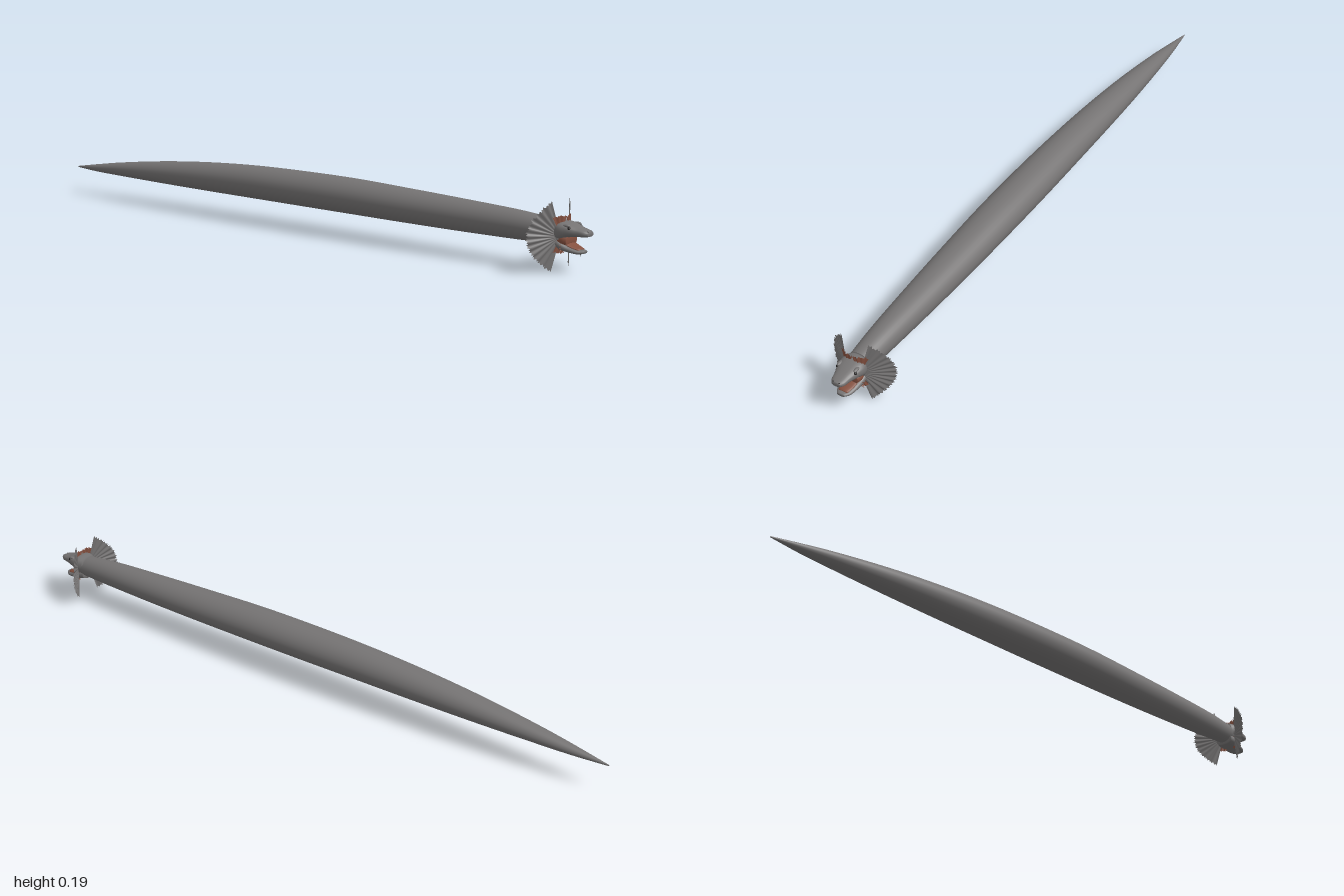
import * as THREE from 'three';

const mat = (name, color, side = THREE.FrontSide) => {
  const m = new THREE.MeshStandardMaterial({ color, side });
  m.name = name;
  return m;
};

// Smooth tube along z; each section is [z, halfWidth, top, bottom]
function loft(sections, steps, sides = 28, power = 1) {
  const width = new THREE.CatmullRomCurve3(sections.map(s => new THREE.Vector3(s[0], s[1], 0)));
  const height = new THREE.CatmullRomCurve3(sections.map(s => new THREE.Vector3(s[0], s[2], s[3])));
  const rows = [];
  for (let i = 0; i <= steps; i++) {
    const w = width.getPoint(i / steps), h = height.getPoint(i / steps);
    rows.push([w.x, Math.max(w.y, 0.0005), h.y, h.z]);
  }
  const mid = r => (r[2] + r[3]) / 2;
  const cap = r => [r[0], 0, mid(r), mid(r)];
  rows.unshift(cap(rows[0]));
  rows.push(cap(rows[rows.length - 1]));
  const pos = [], idx = [];
  const bend = v => Math.sign(v) * Math.abs(v) ** power;
  rows.forEach((r, i) => {
    for (let j = 0; j < sides; j++) {
      const a = j / sides * Math.PI * 2;
      pos.push(bend(Math.cos(a)) * r[1], mid(r) + bend(Math.sin(a)) * (r[2] - r[3]) / 2, r[0]);
      if (i < rows.length - 1) {
        const k = (j + 1) % sides, p = i * sides, q = p + sides;
        idx.push(p + j, p + k, q + k, p + j, q + k, q + j);
      }
    }
  });
  return surface(pos, idx);
}

function surface(pos, idx) {
  const g = new THREE.BufferGeometry();
  g.setAttribute('position', new THREE.Float32BufferAttribute(pos, 3));
  g.setIndex(idx);
  g.computeVertexNormals();
  return g;
}

// Swept-back fan around the neck, between two angles in degrees
function fan(side, from, to, segs, rings, inner, outer, lift = 0) {
  const pos = [], idx = [];
  for (let i = 0; i <= segs; i++) {
    const a = THREE.MathUtils.degToRad(from + (to - from) * i / segs);
    const rim = outer(a, i);
    for (let j = 0; j <= rings; j++) {
      const t = j / rings, r = inner + (rim - inner) * t;
      const x = 0.02 + Math.cos(a) * r;
      const fold = 0.0035 * t * (1 - 0.4 * t) * Math.sin(a * 28);
      pos.push(side * x, 0.098 + Math.sin(a) * r, 0.922 - 0.66 * Math.max(x - 0.018, 0) + fold + lift);
      if (i < segs && j < rings) {
        const p = i * (rings + 1) + j, q = p + rings + 1;
        if (side > 0) idx.push(p, p + 1, q + 1, p, q + 1, q);
        else idx.push(p, q + 1, p + 1, p, q, q + 1);
      }
    }
  }
  return surface(pos, idx);
}

export function createModel() {
  const group = new THREE.Group();
  const skin = mat('grey skin', 0x757373);
  const frillSkin = mat('frill skin', 0x757373, THREE.DoubleSide);
  const red = mat('red brown flesh', 0x84503f, THREE.DoubleSide);
  const dark = mat('dark eye', 0x252323);
  const add = (name, geo, material, x = 0, y = 0, z = 0) => {
    const m = new THREE.Mesh(geo, material);
    m.name = name;
    m.position.set(x, y, z);
    group.add(m);
    return m;
  };

  // Long body tapering to the tail tip
  add('body', loft([
    [-1, 0.001, 0.088, 0.084], [-0.9, 0.015, 0.104, 0.079], [-0.8, 0.026, 0.119, 0.077],
    [-0.6, 0.042, 0.143, 0.074], [-0.4, 0.052, 0.16, 0.072], [-0.2, 0.058, 0.17, 0.071],
    [0, 0.062, 0.173, 0.07], [0.2, 0.062, 0.172, 0.069], [0.4, 0.058, 0.165, 0.068],
    [0.6, 0.051, 0.157, 0.068], [0.8, 0.041, 0.147, 0.07], [0.92, 0.032, 0.134, 0.073],
  ], 70, 32), skin);

  // Head with open jaws
  add('upperJaw', loft([
    [0.895, 0.031, 0.137, 0.082], [0.92, 0.038, 0.139, 0.088], [0.945, 0.034, 0.134, 0.098],
    [0.97, 0.025, 0.126, 0.101], [0.99, 0.02, 0.121, 0.102], [1, 0.013, 0.117, 0.105],
  ], 24, 24, 0.8), skin);
  add('lowerJaw', loft([
    [0.895, 0.029, 0.1, 0.066], [0.92, 0.033, 0.09, 0.061], [0.945, 0.028, 0.076, 0.057],
    [0.97, 0.021, 0.068, 0.055], [0.984, 0.011, 0.066, 0.058],
  ], 20, 24, 0.8), skin);
  add('mouthLining', loft([
    [0.91, 0.028, 0.108, 0.07], [0.93, 0.029, 0.106, 0.072], [0.942, 0.025, 0.103, 0.074],
  ], 8, 20, 0.8), red);
  add('tongue', loft([
    [0.925, 0.025, 0.09, 0.08], [0.95, 0.022, 0.0775, 0.07], [0.974, 0.014, 0.07, 0.063],
  ], 10, 16), red);

  // Chin spike
  add('chinSpike', new THREE.ConeGeometry(0.003, 0.012, 6), skin, 0, 0.054, 0.97).rotation.x = Math.PI;

  const rim = (a, i) => 0.082 + 0.016 * (Math.abs(a) / 1.35) ** 4 - (i % 2 ? 0.005 : 0);
  for (const s of [-1, 1]) {
    // Toothed neck frill
    add('frill', fan(s, -77, 77, 64, 8, 0.012, rim), frillSkin);
    // Flesh membranes where the frill meets the neck
    for (const [from, to] of [[66, 112], [-100, -62]]) {
      add('frillMembrane', fan(s, from, to, 12, 3, 0.025, (a, i) => (from > 0 ? 0.057 : 0.046) - (i % 2) * 0.004, 0.003), red);
    }
    // Eyes, brows and nostrils
    add('eye', new THREE.SphereGeometry(0.0045, 12, 8), dark, s * 0.028, 0.124, 0.951);
    const brow = add('brow', new THREE.SphereGeometry(0.007, 12, 8), skin, s * 0.026, 0.13, 0.943);
    brow.scale.set(0.8, 0.6, 1.6);
    add('nostril', new THREE.SphereGeometry(0.002, 8, 6), dark, s * 0.009, 0.117, 0.997);
    // Small spines at the jaw corner
    for (let i = 0; i < 3; i++) {
      const spine = add('jawSpine', new THREE.ConeGeometry(0.0025, 0.014, 6), red, s * 0.032, 0.062 + i * 0.007, 0.928);
      spine.rotation.z = -s * (Math.PI / 2 + 0.5 - i * 0.35);
    }
  }
  return group;
}
